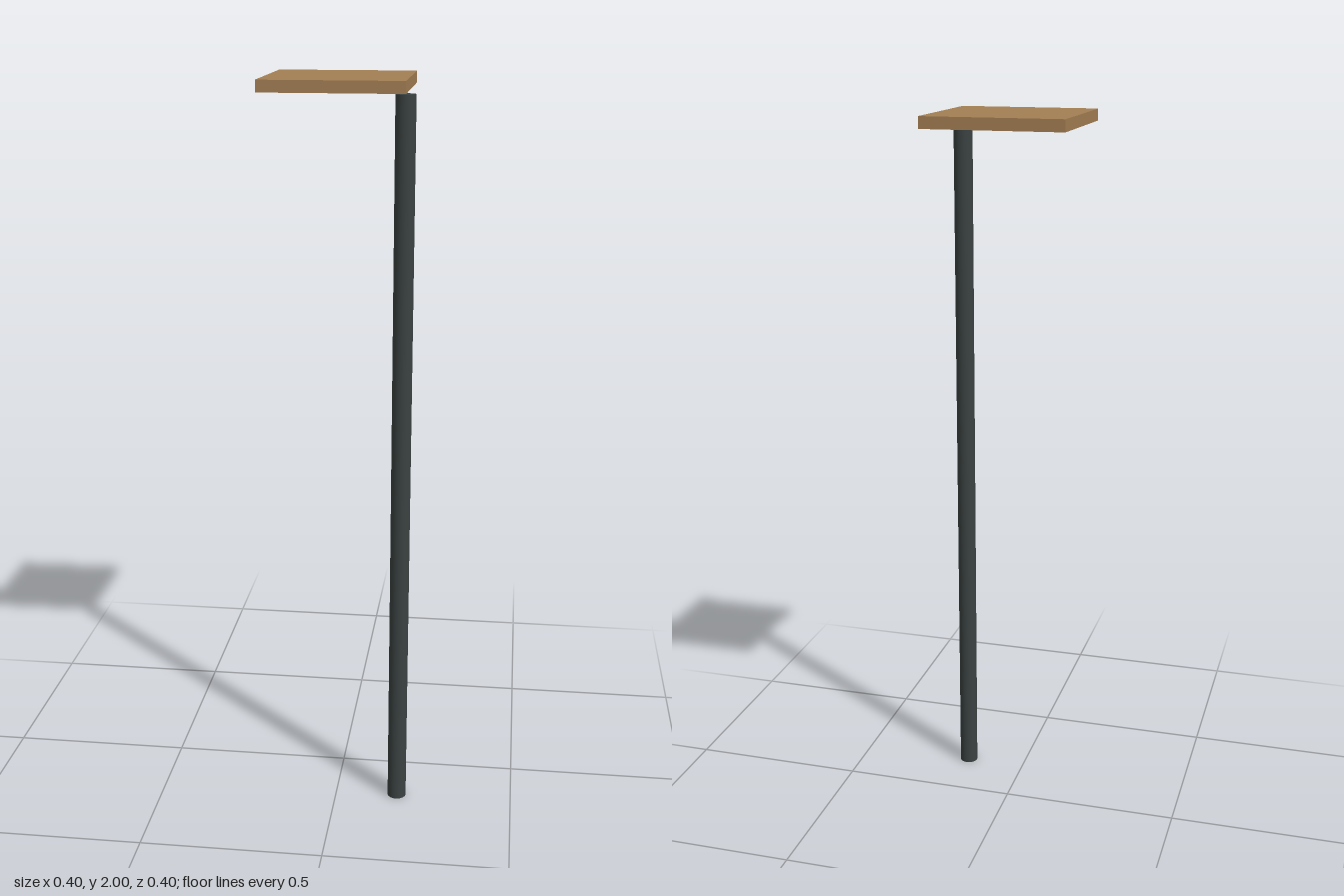
import * as THREE from 'three';

const wood = new THREE.MeshStandardMaterial({ color: 0xa37e53 });
wood.name = 'wood';
const darkMetal = new THREE.MeshStandardMaterial({ color: 0x3a4241 });
darkMetal.name = 'dark metal';

const POLE_RADIUS = 0.026;
const BOARD_SIZE = 0.375;
const BOARD_THICKNESS = 0.031;
const POLE_HEIGHT = 2 - BOARD_THICKNESS;
const CORNER = 0.174; // pole axis sits under this corner of the board

function addPart(group, name, geometry, material, x, y, z) {
  const mesh = new THREE.Mesh(geometry, material);
  mesh.name = name;
  mesh.position.set(x, y, z);
  group.add(mesh);
}

export function createModel() {
  const model = new THREE.Group();
  model.name = 'cornerPostWithBoard';

  // Round upright post
  addPart(model, 'post',
    new THREE.CylinderGeometry(POLE_RADIUS, POLE_RADIUS, POLE_HEIGHT, 32),
    darkMetal, CORNER, POLE_HEIGHT / 2, CORNER);

  // Square board resting on the post by one corner
  const centre = CORNER - BOARD_SIZE / 2;
  addPart(model, 'board',
    new THREE.BoxGeometry(BOARD_SIZE, BOARD_THICKNESS, BOARD_SIZE),
    wood, centre, POLE_HEIGHT + BOARD_THICKNESS / 2, centre);

  return model;
}
